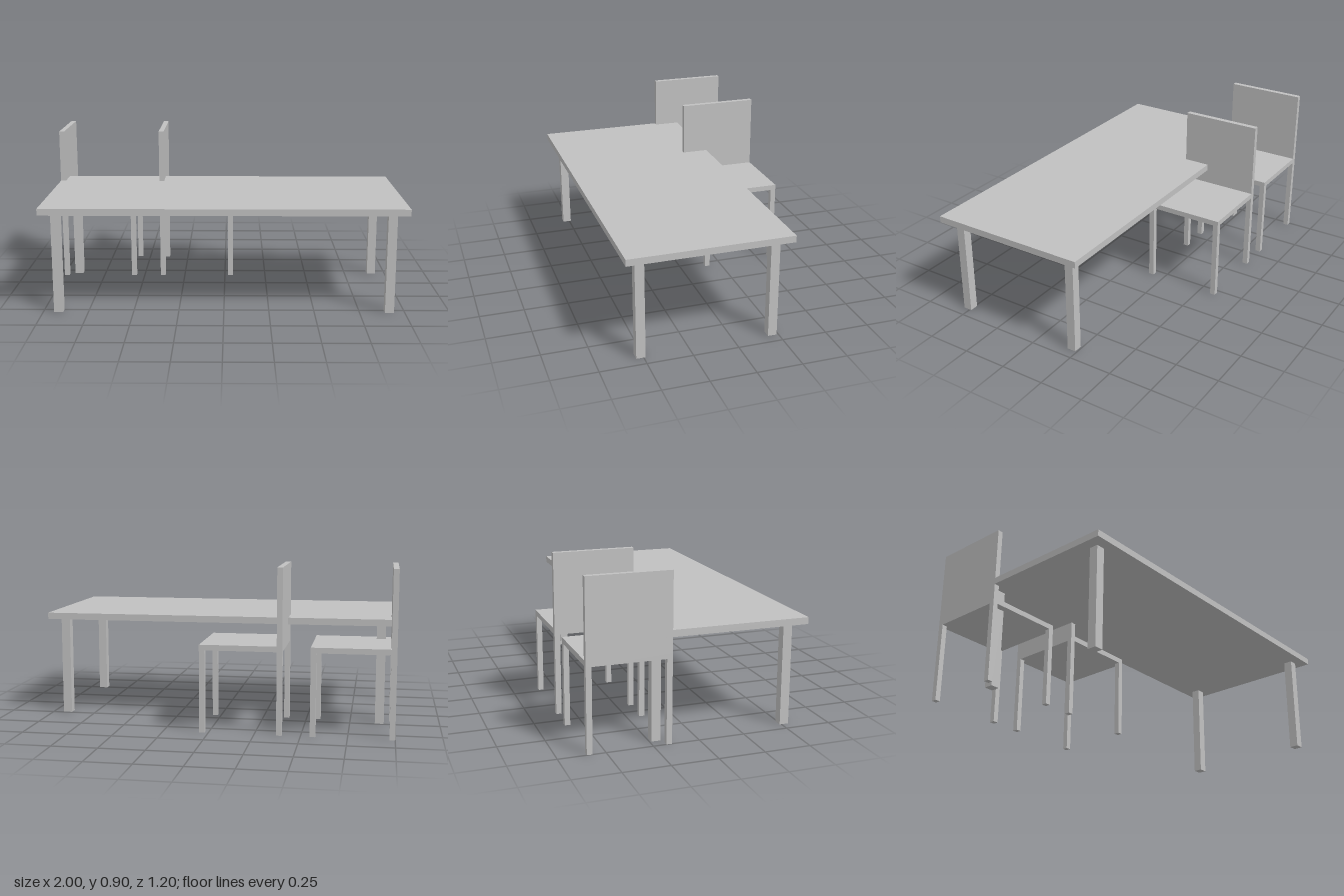
import * as THREE from 'three';

const grey = new THREE.MeshStandardMaterial({ color: 0xc0c0c0 });
grey.name = 'plain grey';

// Box given by its minimum and maximum corners
function block(name, [x0, y0, z0], [x1, y1, z1]) {
  const mesh = new THREE.Mesh(new THREE.BoxGeometry(x1 - x0, y1 - y0, z1 - z0), grey);
  mesh.position.set((x0 + x1) / 2, (y0 + y1) / 2, (z0 + z1) / 2);
  mesh.name = name;
  return mesh;
}

// Four square legs, given the lower corner of each in x and z
function addLegs(group, name, xs, zs, size, height) {
  for (const x of xs) {
    for (const z of zs) {
      group.add(block(name, [x, 0, z], [x + size, height, z + size]));
    }
  }
}

function createTable() {
  const table = new THREE.Group();
  table.name = 'table';
  table.add(block('tableTop', [-1, 0.563, -0.3], [1, 0.6, 0.6]));
  addLegs(table, 'tableLeg', [-0.94, 0.89], [-0.24, 0.49], 0.05, 0.563);
  return table;
}

// Chair facing +x, with its back right corner at the group's origin
function createChair() {
  const chair = new THREE.Group();
  chair.name = 'chair';
  const size = 0.45, thick = 0.03, under = 0.453, seatTop = 0.483;
  chair.add(block('seat', [0, under, 0], [size, seatTop, size]));
  chair.add(block('backrest', [0, seatTop, 0], [thick, 0.903, size]));
  addLegs(chair, 'chairLeg', [0, size - thick], [0, size - thick], thick, under);
  return chair;
}

export function createModel() {
  const model = new THREE.Group();
  model.name = 'tableWithChairs';
  model.add(createTable());
  for (const x of [-1, -0.4]) {
    const chair = createChair();
    chair.position.set(x, 0, -0.6);
    model.add(chair);
  }
  return model;
}
